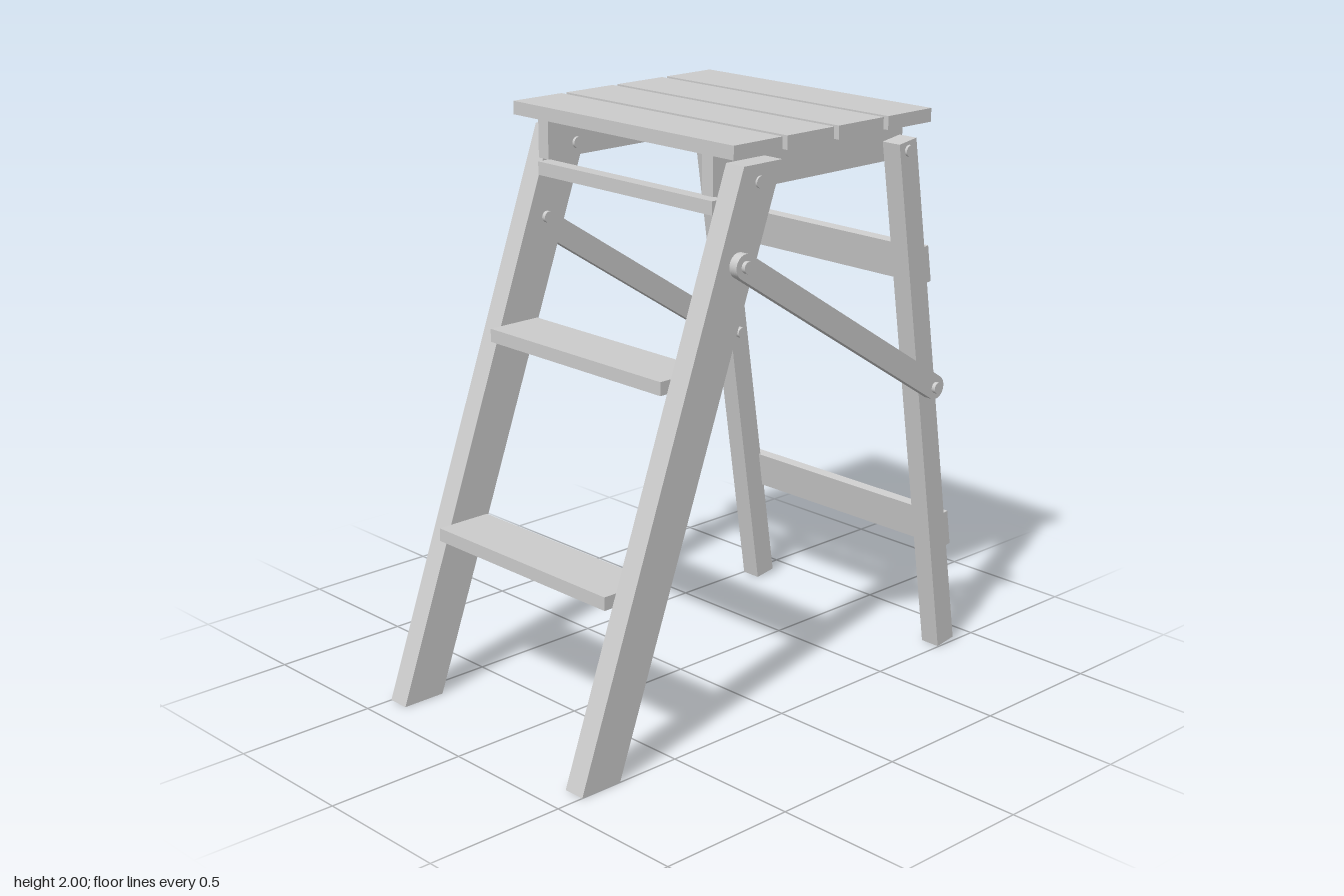
import * as THREE from 'three';

const mat = new THREE.MeshStandardMaterial({ color: 0xcccccc });

export function createModel() {
  const model = new THREE.Group();
  model.name = 'stepStool';

  function add(name, geometry, x, y, z, parent = model) {
    const mesh = new THREE.Mesh(geometry, mat);
    mesh.name = name;
    mesh.position.set(x, y, z);
    parent.add(mesh);
    return mesh;
  }
  const box = (name, w, h, d, x, y, z, parent) =>
    add(name, new THREE.BoxGeometry(w, h, d), x, y, z, parent);

  // Side profile drawn as (z, y), given a thickness along x
  function sidePlate(shape, thickness) {
    const g = new THREE.ExtrudeGeometry(shape, { depth: thickness, bevelEnabled: false, curveSegments: 16 });
    return g.translate(0, 0, -thickness / 2).rotateY(-Math.PI / 2);
  }

  // Pin through the side parts, from x0 to x1
  function pin(name, side, x0, x1, y, z) {
    const g = new THREE.CylinderGeometry(0.02, 0.02, x1 - x0, 20).rotateZ(Math.PI / 2);
    add(name, g, side * (x0 + x1) / 2, y, z);
  }

  // Top slats
  for (let i = 0; i < 4; i++) {
    box('topSlat', 1.055, 0.046, 0.213, 0, 1.977, 0.17 - i * 0.236);
  }

  // Treads, with a slim cross bar under the top
  box('tread', 0.84, 0.046, 0.205, 0, 0.586, 0.625);
  box('tread', 0.84, 0.046, 0.205, 0, 1.242, 0.383);
  box('upperCrossBar', 0.84, 0.046, 0.05, 0, 1.784, 0.238);

  // Rear frame, leaning forward towards the top
  const rear = new THREE.Group();
  rear.name = 'rearFrame';
  rear.position.set(0, 0.951, -0.712);
  rear.rotation.x = 0.1525;
  model.add(rear);
  for (const y of [-0.517, 0.497]) {
    box('rearSlat', 0.98, 0.13, 0.036, 0, y, -0.052, rear);
  }

  // Slanted front leg with level ends
  const legShape = new THREE.Shape([
    [0.74, 0], [0.9, 0], [0.203, 1.92], [0.033, 1.92],
  ].map(([z, y]) => new THREE.Vector2(z, y)));

  // Round-ended strut between the front and rear legs
  const a = new THREE.Vector2(0.23, 1.612), b = new THREE.Vector2(-0.702, 1.02);
  const angle = Math.atan2(b.y - a.y, b.x - a.x), r = 0.042;
  const strutShape = new THREE.Shape();
  strutShape.absarc(a.x, a.y, r, angle + Math.PI / 2, angle + Math.PI * 1.5, false);
  strutShape.absarc(b.x, b.y, r, angle - Math.PI / 2, angle + Math.PI / 2, false);
  strutShape.closePath();

  for (const s of [-1, 1]) {
    add('frontLeg', sidePlate(legShape, 0.08), s * 0.46, 0, 0);
    box('rearLeg', 0.075, 1.909, 0.084, s * 0.46, 0, 0, rear);
    box('topRail', 0.05, 0.135, 0.885, s * 0.395, 1.887, -0.183);
    add('sideStrut', sidePlate(strutShape, 0.032), s * 0.523, 0, 0);
    pin('strutPin', s, 0.405, 0.553, a.y, a.x);
    pin('strutPin', s, 0.405, 0.553, b.y, b.x);
    pin('pivotPin', s, 0.36, 0.507, 1.862, 0.133);
    pin('pivotPin', s, 0.36, 0.507, 1.862, -0.572);
  }
  return model;
}
